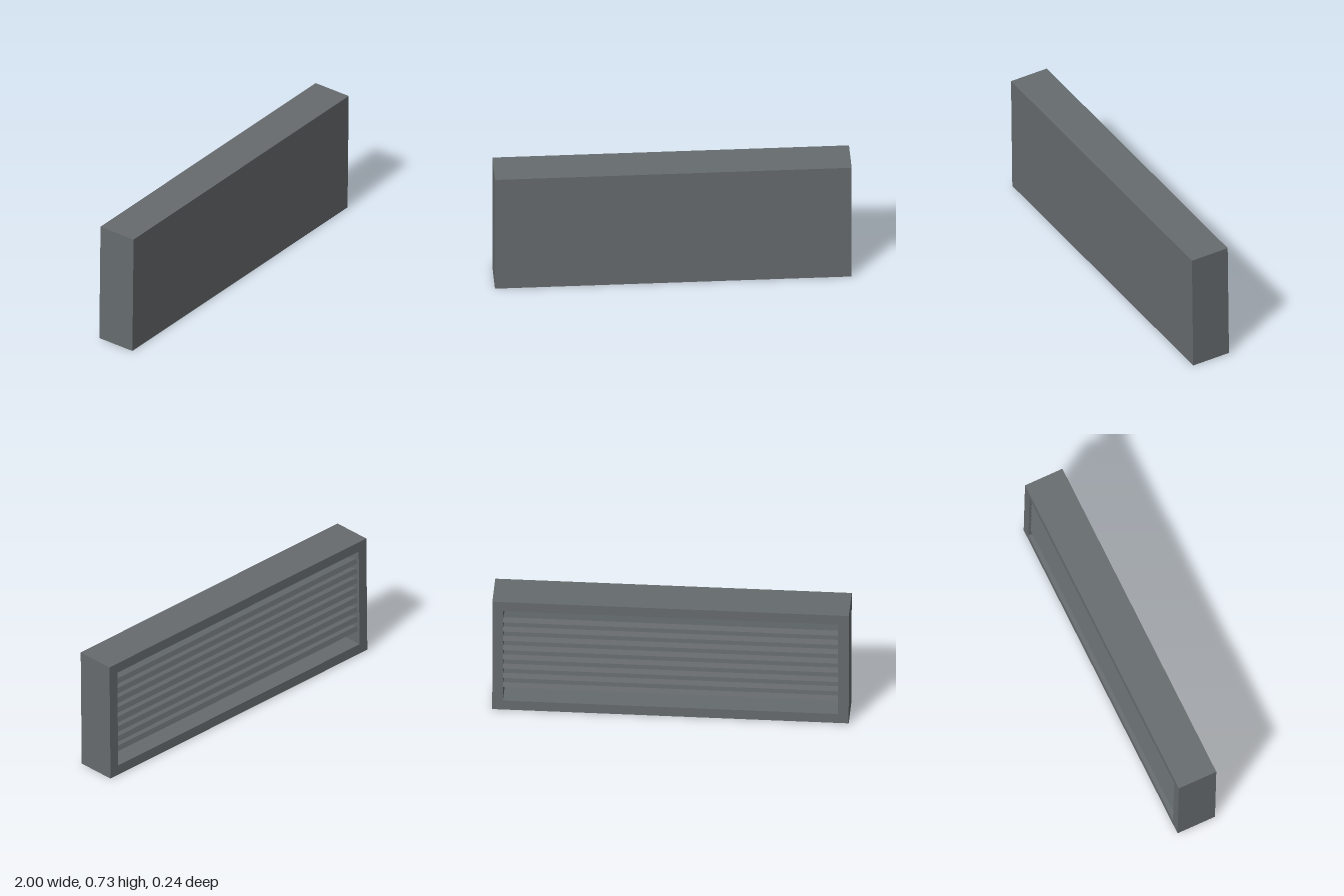
import * as THREE from 'three';

const W = 2, H = 0.724, D = 0.232;
const RIM = 0.06;      // border around the rear opening
const CAVITY = 0.146;  // depth of the rear opening
const SLATS = 8, PITCH = 0.0625;

export function createModel() {
  const grey = new THREE.MeshStandardMaterial({ color: 0x666b6e });
  grey.name = 'slate grey';

  const model = new THREE.Group();
  model.name = 'louvreVent';

  const body = new THREE.Group();
  body.name = 'body';
  body.position.y = 0.3635;
  body.rotation.x = 0.0115; // slight forward lean
  model.add(body);

  const add = (name, geometry, x, y, z) => {
    const mesh = new THREE.Mesh(geometry, grey);
    mesh.name = name;
    mesh.position.set(x, y, z);
    body.add(mesh);
    return mesh;
  };

  // Closed front panel
  const panelDepth = D - CAVITY;
  add('frontPanel', new THREE.BoxGeometry(W, H, panelDepth), 0, 0, D / 2 - panelDepth / 2);

  // Rectangular frame around the rear opening
  const rect = (path, w, h) => {
    path.moveTo(-w / 2, -h / 2);
    path.lineTo(w / 2, -h / 2);
    path.lineTo(w / 2, h / 2);
    path.lineTo(-w / 2, h / 2);
    path.closePath();
    return path;
  };
  const outline = rect(new THREE.Shape(), W, H);
  outline.holes.push(rect(new THREE.Path(), W - 2 * RIM, H - 2 * RIM));
  const frame = new THREE.ExtrudeGeometry(outline, { depth: CAVITY, bevelEnabled: false });
  add('rearFrame', frame, 0, 0, -D / 2);

  // Tilted slats, outer edge high and inner edge low
  const slat = new THREE.BoxGeometry(W - 2 * RIM, 0.03, 0.135);
  for (let i = 0; i < SLATS; i++) {
    add('slat' + (i + 1), slat, 0, 0.213 - i * PITCH, -0.036).rotation.x = 0.3;
  }

  return model;
}
